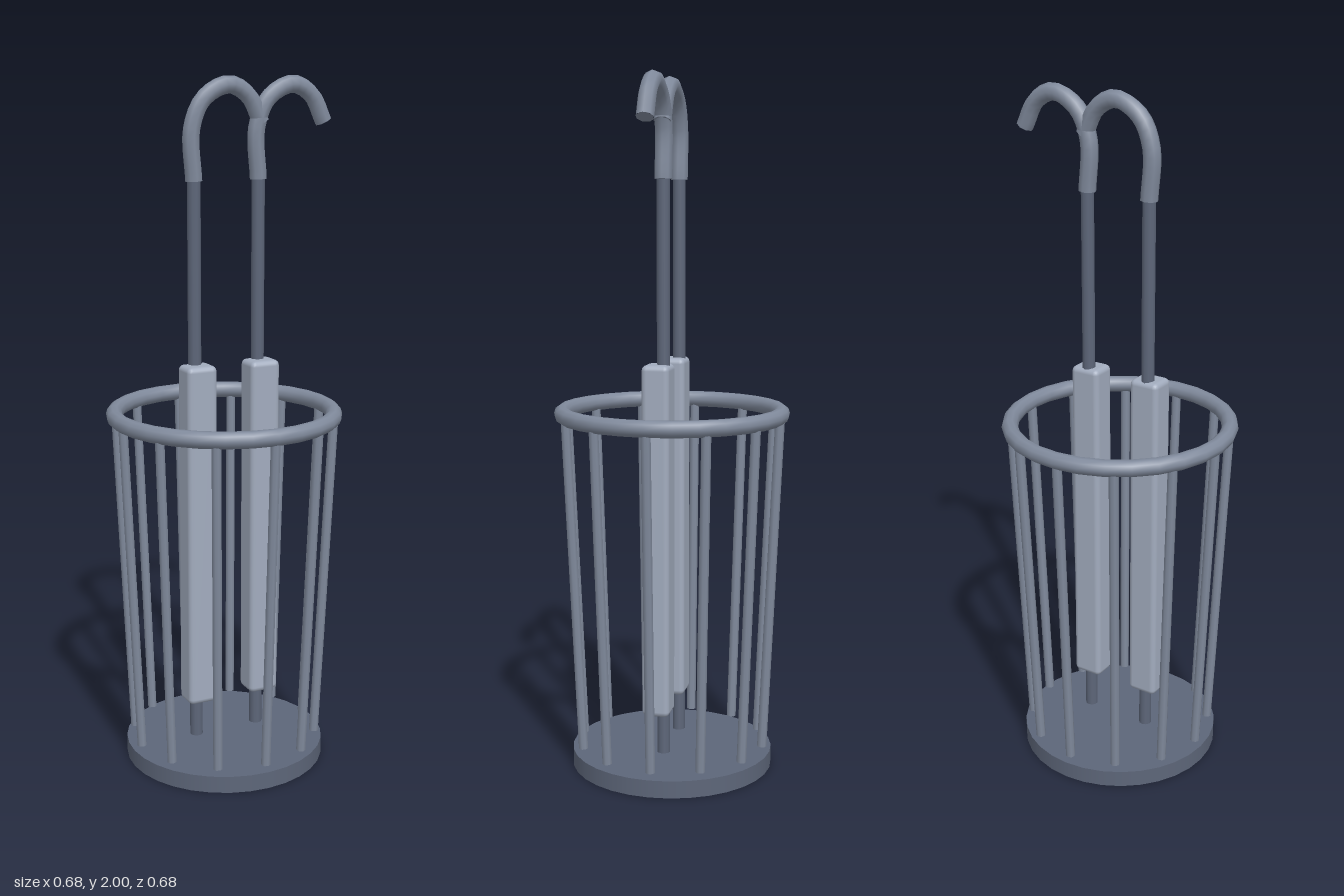
import * as THREE from 'three';
import { RoundedBoxGeometry } from 'three/addons/geometries/RoundedBoxGeometry.js';

const paint = (color) => new THREE.MeshStandardMaterial({ color });
const darkSlate = paint(0x5d6679);  // base and shafts
const slate = paint(0x808a9c);      // rim, rods and handles
const paleSlate = paint(0xa2acbe);  // canopies

function addPart(parent, name, material, geometry, x = 0, y = 0, z = 0) {
  const mesh = new THREE.Mesh(geometry, material);
  mesh.name = name;
  mesh.position.set(x, y, z);
  parent.add(mesh);
  return mesh;
}

// Straight round bar between two points
function addBar(parent, name, material, from, to, radius, sides) {
  const dir = to.clone().sub(from);
  const bar = addPart(parent, name, material, new THREE.CylinderGeometry(radius, radius, dir.length(), sides));
  bar.position.copy(from).add(to).multiplyScalar(0.5);
  bar.quaternion.setFromUnitVectors(new THREE.Vector3(0, 1, 0), dir.normalize());
}

// Umbrella: shaft, folded canopy and hooked handle
function makeUmbrella(name) {
  const umbrella = new THREE.Group();
  umbrella.name = name;
  addBar(umbrella, 'shaft', darkSlate, new THREE.Vector3(0, 0.065, 0), new THREE.Vector3(0, 1.74, 0), 0.019, 10);
  addPart(umbrella, 'foldedCanopy', paleSlate, new RoundedBoxGeometry(0.092, 1.02, 0.08, 2, 0.016), 0.002, 0.692, 0.015);

  const path = new THREE.CatmullRomCurve3(
    [[0, 1.715], [-0.006, 1.855], [0.03, 1.936], [0.108, 1.974], [0.168, 1.943], [0.207, 1.87]]
      .map(([x, y]) => new THREE.Vector3(x, y, 0)));
  const radius = 0.025, sides = 8;
  addPart(umbrella, 'handle', slate, new THREE.TubeGeometry(path, 20, radius, sides));
  // Flat caps on both ends of the handle
  for (const [t, sign] of [[0, -1], [1, 1]]) {
    const cap = addPart(umbrella, 'handleCap', slate, new THREE.CircleGeometry(radius, sides));
    cap.position.copy(path.getPointAt(t));
    cap.quaternion.setFromUnitVectors(
      new THREE.Vector3(0, 0, 1), path.getTangentAt(t).multiplyScalar(sign));
  }
  return umbrella;
}

export function createModel() {
  const model = new THREE.Group();
  model.name = 'umbrellaStand';

  addPart(model, 'base', darkSlate, new THREE.CylinderGeometry(0.295, 0.295, 0.05, 32), 0, 0.025, 0);
  const rim = addPart(model, 'rim', slate, new THREE.TorusGeometry(0.317, 0.024, 10, 28), 0, 1.05, 0);
  rim.rotation.x = Math.PI / 2;

  // Twelve rods flaring outward from base to rim
  const rods = new THREE.Group();
  rods.name = 'rods';
  model.add(rods);
  for (let i = 0; i < 12; i++) {
    const a = (i / 12) * Math.PI * 2;
    const at = (r, y) => new THREE.Vector3(Math.cos(a) * r, y, Math.sin(a) * r);
    addBar(rods, 'rod', slate, at(0.272, 0.065), at(0.316, 1.05), 0.014, 8);
  }

  // Two matching umbrellas side by side
  [-0.093, 0.107].forEach((x, i) => {
    const umbrella = makeUmbrella(i ? 'leftUmbrella' : 'rightUmbrella');
    umbrella.position.x = x;
    model.add(umbrella);
  });

  return model;
}
